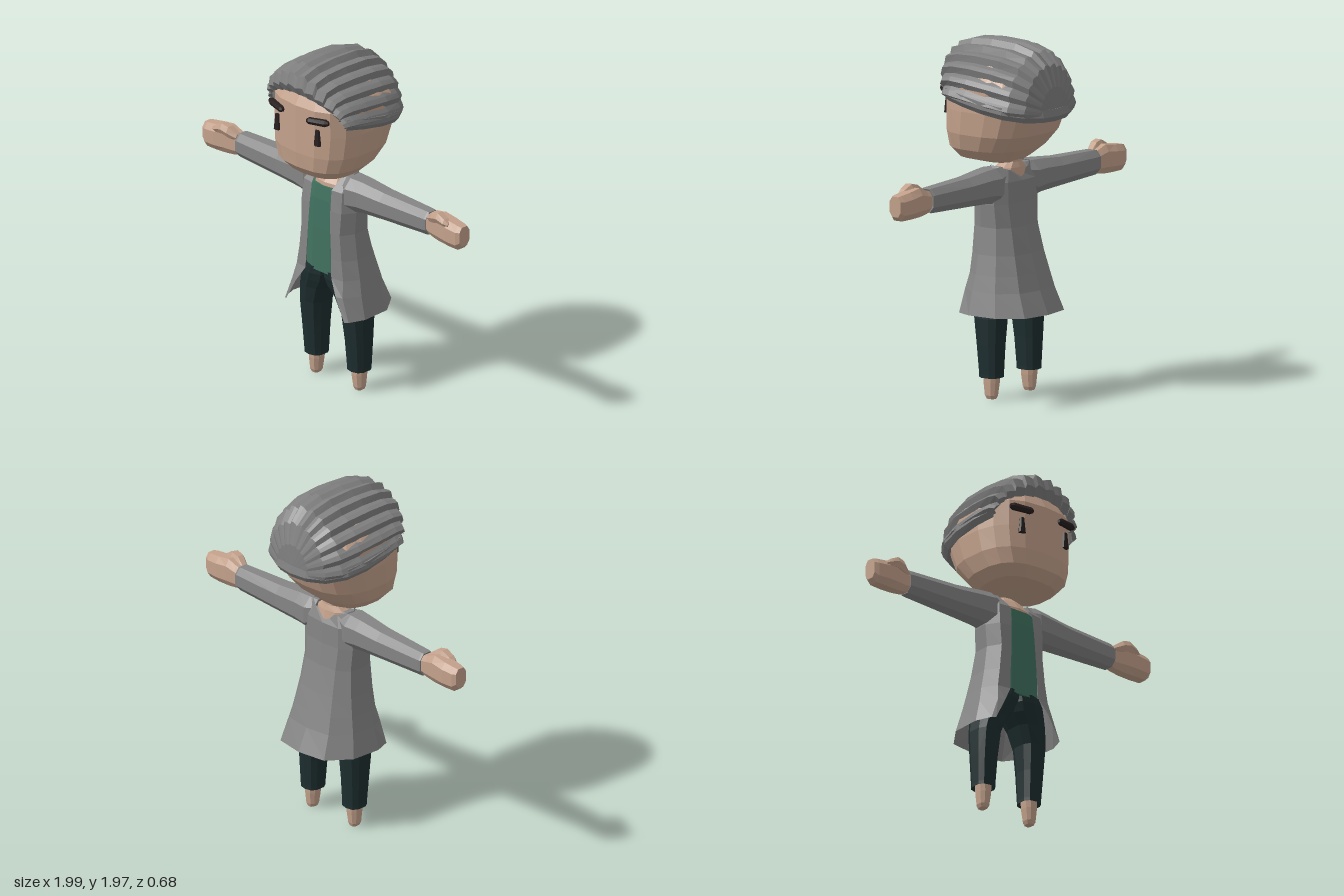
import * as THREE from 'three';

const mat = (name, color, side = THREE.FrontSide) => {
  const m = new THREE.MeshStandardMaterial({ color, side, flatShading: true });
  m.name = name;
  return m;
};

// Skin a list of rings ([x, y, z] points) with flat faces; faces are turned outward.
function loft(rings, { closed = true, caps = true } = {}) {
  const tris = [], n = rings[0].length;
  for (let i = 0; i < rings.length - 1; i++) {
    for (let j = 0; j < (closed ? n : n - 1); j++) {
      const k = (j + 1) % n;
      const a = rings[i][j], b = rings[i][k], c = rings[i + 1][k], d = rings[i + 1][j];
      tris.push([a, b, c], [a, c, d]);
    }
  }
  if (closed && caps) {
    const first = rings[0], last = rings[rings.length - 1];
    for (let j = 1; j < n - 1; j++) {
      tris.push([first[0], first[j + 1], first[j]], [last[0], last[j], last[j + 1]]);
    }
  }
  const V = (p) => new THREE.Vector3(...p);
  const centre = new THREE.Box3().setFromPoints(rings.flat().map(V)).getCenter(new THREE.Vector3());
  let volume = 0;
  for (const [a, b, c] of tris) {
    volume += V(a).sub(centre).dot(V(b).sub(centre).cross(V(c).sub(centre)));
  }
  const pos = tris.flatMap(([a, b, c]) => (volume < 0 ? [a, c, b] : [a, b, c])).flat();
  const g = new THREE.BufferGeometry();
  g.setAttribute('position', new THREE.Float32BufferAttribute(pos, 3));
  g.computeVertexNormals();
  return g;
}

// Rounded outline in two directions, exponent e makes it squarer.
function outline(n, e, fn) {
  return Array.from({ length: n }, (_, i) => {
    const t = ((i + 0.5) / n) * Math.PI * 2;
    const p = (v) => Math.sign(v) * Math.abs(v) ** (2 / e);
    return fn(p(Math.cos(t)), p(Math.sin(t)));
  });
}
// Horizontal ring [y, centre x, half width, front z, back z]
const flatRing = (n, e, s = 1) => ([y, cx, hw, zf, zb]) =>
  outline(n, e, (u, v) => [s * (cx + hw * u), y, (zf + zb) / 2 + ((zf - zb) / 2) * v]);
// Upright ring along x [x, centre y, half height, centre z, half depth]
const armRing = (n, e, s) => ([x, cy, hy, cz, hz]) =>
  outline(n, e, (u, v) => [s * x, cy + hy * u, cz + hz * v]);

export function createModel() {
  const skin = mat('skin', 0xc4a28c);
  const hairMat = mat('hair grey', 0x7f7f7f, THREE.DoubleSide);
  const coatMat = mat('coat grey', 0x858585, THREE.DoubleSide);
  const green = mat('shirt green', 0x417260);
  const dark = mat('trouser dark teal', 0x1e2e2f);
  const ink = mat('eye dark brown', 0x281f1f);

  const model = new THREE.Group();
  model.name = 'figure';
  const add = (name, geometry, material) => {
    const m = new THREE.Mesh(geometry, material);
    m.name = name;
    model.add(m);
    return m;
  };

  // Head with a flat face and rounded back
  add('head', loft([
    [1.3, 0, 0.11, 0.17, -0.04], [1.325, 0, 0.2, 0.27, -0.07], [1.38, 0, 0.255, 0.32, -0.14],
    [1.47, 0, 0.288, 0.33, -0.22], [1.6, 0, 0.3, 0.33, -0.275], [1.75, 0, 0.295, 0.33, -0.27],
    [1.86, 0, 0.21, 0.27, -0.2], [1.91, 0, 0.1, 0.15, -0.1],
  ].map(flatRing(18, 2.7))), skin);

  // Neck and upper chest
  add('neck', loft([
    [1.15, 0, 0.13, 0.12, -0.07], [1.22, 0, 0.12, 0.11, -0.075], [1.27, 0, 0.1, 0.07, -0.065],
    [1.3, 0, 0.06, 0.04, -0.055], [1.36, 0, 0.055, 0.04, -0.05],
  ].map(flatRing(10, 2.4))), skin);

  // Hair: swept-back locks; stations [z, base y, half width, height, lean, ridge depth]
  const steps = 36, ridge = [0.09, 0, 0.035];
  const stations = [
    [0.305, 1.66, 0.285, 0.15, 0.09, 0.3], [0.335, 1.665, 0.3, 0.205, 0.1, 1],
    [0.315, 1.665, 0.315, 0.275, 0.1, 1.1], [0.22, 1.66, 0.322, 0.308, 0.04, 1],
    [0.08, 1.645, 0.328, 0.333, 0, 0.9], [-0.08, 1.62, 0.322, 0.352, 0, 0.9],
    [-0.2, 1.6, 0.29, 0.34, 0, 0.8], [-0.275, 1.595, 0.23, 0.275, 0, 0.8],
    [-0.31, 1.59, 0.13, 0.16, 0, 0.7], [-0.318, 1.585, 0.02, 0.03, 0, 0],
  ];
  add('hair', loft(stations.map(([z, y, w, h, lean, depth]) =>
    Array.from({ length: steps + 1 }, (_, j) => {
      const a = (j / steps) * Math.PI;
      const f = 1 - depth * ridge[Math.min(j, steps - j) % 3];
      return [w * f * Math.cos(a), y + h * f * Math.sin(a), z - lean * (1 - Math.sin(a))];
    })), { closed: false }), hairMat);

  // Rolled hair edge around the sides and back
  const half = [[0.295, 0.23], [0.318, 0.1], [0.322, -0.04], [0.295, -0.17], [0.22, -0.27], [0.11, -0.32]];
  const path = [...half, [0, -0.332], ...half.map(([x, z]) => [-x, z]).reverse()];
  add('hairEdge', loft(path.map(([x, z]) => {
    const y = 1.655 - (0.2 - z) * 0.17;
    return [[x * 0.94, y - 0.01, z * 0.94], [x * 1.01, y + 0.02, z], [x, y + 0.06, z * 0.97],
      [x * 0.86, y + 0.06, z * 0.86], [x * 0.85, y, z * 0.85]];
  })), hairMat);

  // Shirt
  add('shirt', loft([
    [0.69, 0, 0.16, 0.138, -0.1], [0.95, 0, 0.15, 0.135, -0.08], [1.12, 0, 0.15, 0.13, -0.07],
    [1.2, 0, 0.13, 0.118, -0.06],
  ].map(flatRing(12, 3.2))), green);

  // Open coat: rows [y, half gap, half width, front z, back z]
  const coatRows = [
    [1.285, 0.1, 0.14, 0.05, -0.06], [1.2, 0.076, 0.19, 0.128, -0.085], [1.08, 0.08, 0.197, 0.142, -0.09],
    [0.95, 0.086, 0.188, 0.148, -0.108], [0.8, 0.095, 0.208, 0.15, -0.145], [0.69, 0.1, 0.23, 0.154, -0.178],
    [0.6, 0.155, 0.25, 0.176, -0.205], [0.47, 0.225, 0.28, 0.18, -0.262],
  ];
  add('coatBody', loft(coatRows.map(([y, gap, w, zf, zb], i) => {
    const dip = i === 0 ? 0.04 : 0;
    const side = [[gap, y, zf], [Math.max(gap + 0.02, w * 0.78), y, zf * 0.92], [w, y, zf * 0.4],
      [w * 0.97, y, zb * 0.4], [w * 0.62, y - dip / 2, zb * 0.9]];
    return [...side, [0, y - dip, zb], ...side.map(([x, py, z]) => [-x, py, z]).reverse()];
  }), { closed: false }), coatMat);

  for (const s of [1, -1]) {
    const label = s > 0 ? 'left' : 'right';

    // Sleeve with a turned-in cuff
    add(label + 'Sleeve', loft([
      [0.1, 1.2, 0.085, 0.01, 0.07], [0.16, 1.182, 0.105, 0.02, 0.1], [0.24, 1.186, 0.097, 0.016, 0.09],
      [0.4, 1.182, 0.085, 0.012, 0.078], [0.725, 1.183, 0.073, 0.008, 0.06], [0.737, 1.183, 0.07, 0.008, 0.057],
      [0.73, 1.183, 0.055, 0.008, 0.045],
    ].map(armRing(8, 2.4, s))), coatMat);

    // Mitten hand and thumb
    add(label + 'Hand', loft([
      [0.71, 1.18, 0.055, 0.008, 0.042], [0.76, 1.18, 0.07, 0.01, 0.045], [0.82, 1.187, 0.085, 0.012, 0.052],
      [0.9, 1.18, 0.08, 0.015, 0.058], [0.97, 1.175, 0.075, 0.018, 0.052], [0.995, 1.185, 0.06, 0.018, 0.04],
    ].map(armRing(8, 2.8, s))), skin);
    add(label + 'Thumb', loft([
      [0.74, 1.225, 0.02, 0.03, 0.025], [0.79, 1.248, 0.035, 0.045, 0.035], [0.835, 1.258, 0.034, 0.048, 0.035],
      [0.885, 1.243, 0.024, 0.05, 0.03], [0.91, 1.235, 0.012, 0.05, 0.016],
    ].map(armRing(6, 2.4, s))), skin);

    // Trouser leg, meeting its twin at the hips
    add(label + 'TrouserLeg', loft([
      [0.14, 0.165, 0.045, 0.045, -0.045], [0.12, 0.165, 0.06, 0.065, -0.062], [0.14, 0.165, 0.06, 0.066, -0.062],
      [0.3, 0.165, 0.068, 0.08, -0.07], [0.45, 0.161, 0.077, 0.098, -0.08], [0.55, 0.135, 0.092, 0.115, -0.09],
      [0.61, 0.103, 0.105, 0.132, -0.1], [0.66, 0.085, 0.105, 0.142, -0.105], [0.705, 0.07, 0.09, 0.14, -0.1],
    ].map(flatRing(10, 2.7, s))), dark);

    // Foot tapering to the ground
    add(label + 'Foot', loft([
      [0, 0.167, 0.022, 0.028, -0.026], [0.02, 0.167, 0.032, 0.037, -0.034], [0.09, 0.165, 0.04, 0.045, -0.042],
      [0.15, 0.165, 0.044, 0.046, -0.045],
    ].map(flatRing(8, 2.8, s))), skin);

    // Eye: a tall drop, narrower at the top
    const eye = add(label + 'Eye', new THREE.CylinderGeometry(0.014, 0.024, 0.09, 8), ink);
    eye.scale.z = 0.7;
    eye.position.set(s * 0.155, 1.6, 0.315);

    // Brow: thick bar with blunt ends
    const brow = add(label + 'Brow', loft([
      [-0.07, 0, 0.01, 0, 0.01], [-0.055, 0, 0.019, 0, 0.018], [0.05, 0, 0.021, 0, 0.018], [0.07, 0, 0.012, 0, 0.01],
    ].map(armRing(6, 2.4, s))), ink);
    brow.position.set(s * 0.16, 1.698, 0.318);
    brow.rotation.set(0, s * 0.25, s * 0.06);
  }
  return model;
}
